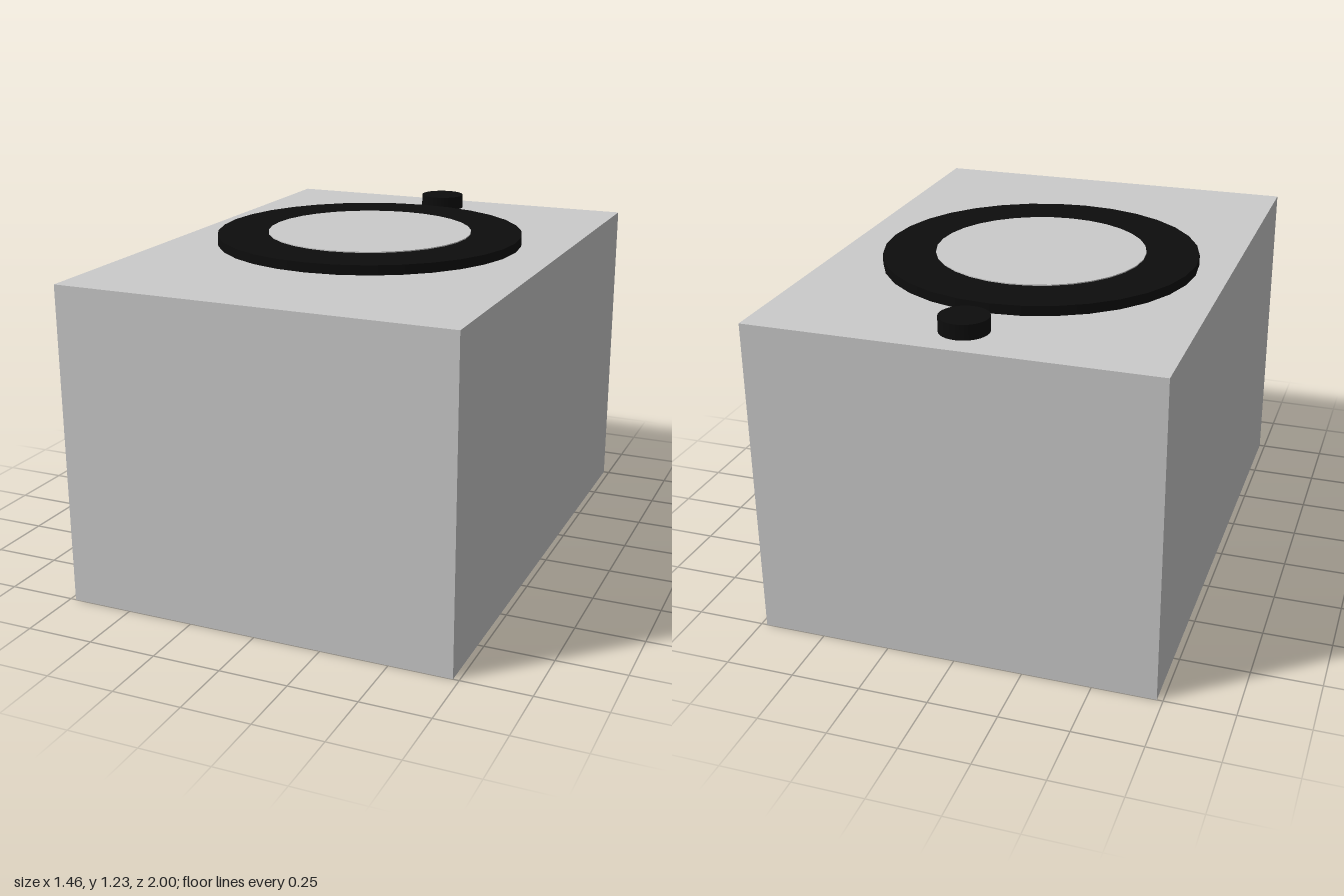
import * as THREE from 'three';

export function createModel() {
  const model = new THREE.Group();
  const grey = new THREE.MeshStandardMaterial({ color: 0xcccccc });
  const black = new THREE.MeshStandardMaterial({ color: 0x0d0d0d });
  const bodyTop = 1.18;

  function add(name, geometry, material, x, y, z) {
    const mesh = new THREE.Mesh(geometry, material);
    mesh.name = name;
    mesh.position.set(x, y, z);
    model.add(mesh);
  }

  // Upright disc standing on the given base height
  function addDisc(name, radius, base, top, material, x, z) {
    const height = top - base;
    add(name, new THREE.CylinderGeometry(radius, radius, height, 32), material, x, base + height / 2, z);
  }

  // Main box
  add('body', new THREE.BoxGeometry(1.457, bodyTop, 2), grey, 0, bodyTop / 2, 0);

  // Wide black rim with a slightly raised grey plate in its centre
  addDisc('rim', 0.585, bodyTop, 1.216, black, -0.023, -0.075);
  addDisc('centrePlate', 0.39, bodyTop, 1.22, grey, -0.023, -0.075);

  // Small round button behind the rim
  addDisc('button', 0.087, bodyTop, 1.234, black, -0.003, -0.83);

  return model;
}
